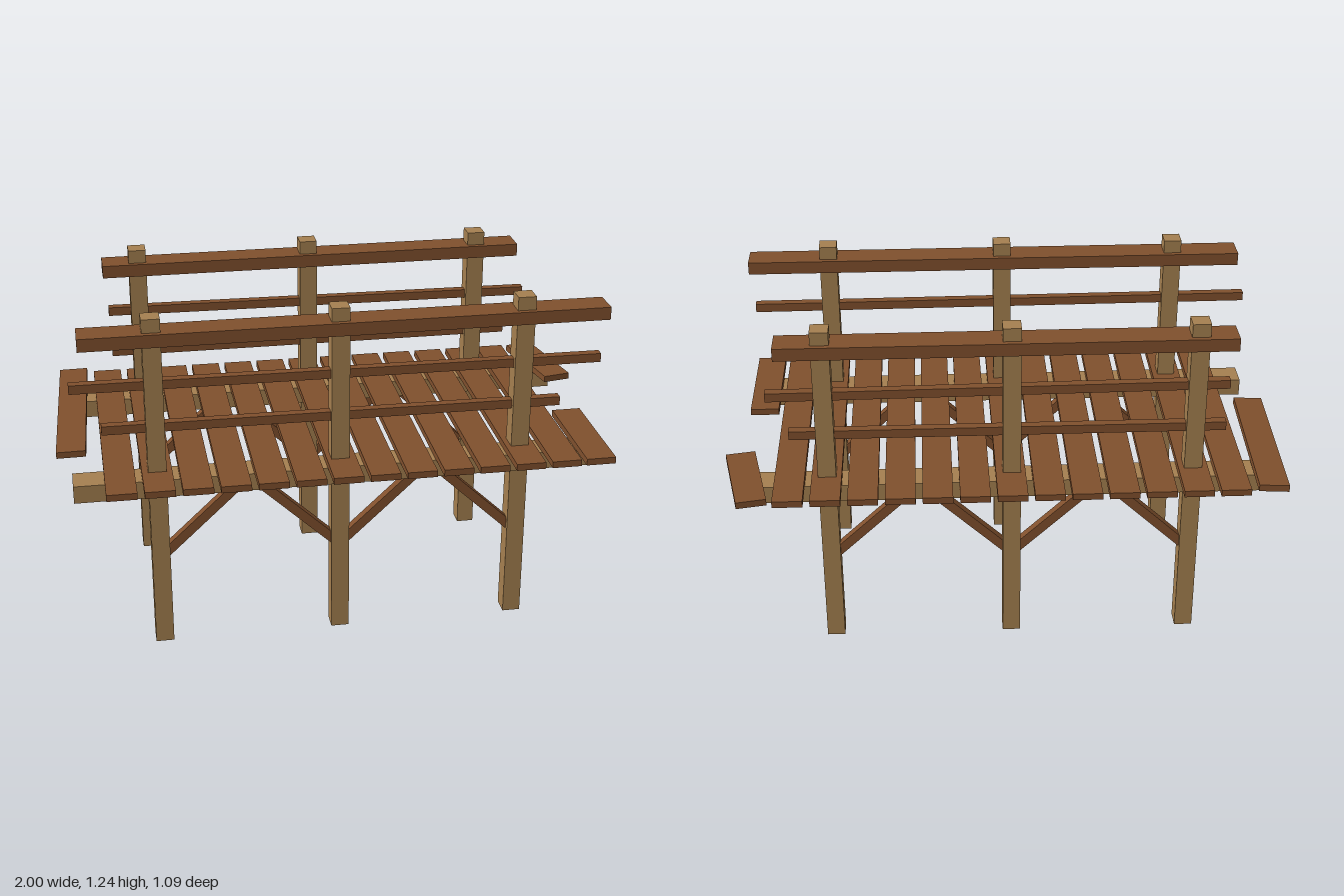
import * as THREE from 'three';

const paleWood = new THREE.MeshStandardMaterial({ color: 0xa58050, flatShading: true });
const darkWood = new THREE.MeshStandardMaterial({ color: 0x80502d, flatShading: true });

export function createModel() {
  const model = new THREE.Group();
  model.name = 'woodenFootbridge';

  // Timber given by its size and centre
  const timber = (name, material, size, centre, rotation = [0, 0, 0], parent = model) => {
    const mesh = new THREE.Mesh(new THREE.BoxGeometry(...size), material);
    mesh.name = name;
    mesh.position.set(...centre);
    mesh.rotation.set(...rotation, 'YXZ');
    parent.add(mesh);
    return mesh;
  };

  const postX = [-0.66, -0.02, 0.627];
  const postHalf = 0.032;

  // Rails of each side: [name, start x, end x, y, height, depth, tilt]
  const sides = [
    {
      name: 'frontSide', z: 0.362, rails: [
        ['handrail', -0.906, 0.922, 1.169, 0.046, 0.105, 0],
        ['upperRail', -0.943, 0.91, 0.994, 0.032, 0.032, -0.004],
        ['lowerRail', -0.842, 0.77, 0.837, 0.032, 0.032, -0.003],
      ],
    },
    {
      name: 'backSide', z: -0.352, rails: [
        ['handrail', -0.79, 0.785, 1.169, 0.046, 0.105, 0],
        ['upperRail', -0.775, 0.825, 0.994, 0.032, 0.032, -0.007],
        ['lowerRail', -0.77, 0.753, 0.837, 0.032, 0.032, 0.001],
      ],
    },
  ];

  for (const { name, z, rails } of sides) {
    const side = new THREE.Group();
    side.name = name;
    model.add(side);

    // Long beam under the deck
    timber('beam', paleWood, [1.89, 0.064, 0.105], [-0.005, 0.623, z], undefined, side);

    for (const x of postX) {
      timber('post', paleWood, [postHalf * 2, 1.24, 0.067], [x, 0.62, z], undefined, side);
    }
    for (const [railName, x0, x1, y, h, d, tilt] of rails) {
      timber(railName, darkWood, [x1 - x0, h, d], [(x0 + x1) / 2, y, z], [0, 0, tilt], side);
    }

    // Diagonal braces rising from the posts to the beam
    const braces = [[0, 1], [1, -1], [1, 1], [2, -1]];
    for (const [post, dir] of braces) {
      const start = new THREE.Vector2(postX[post] + dir * (postHalf - 0.01), 0.353);
      const end = new THREE.Vector2(start.x + dir * 0.275, 0.611);
      const mid = start.clone().add(end).divideScalar(2);
      const angle = dir * Math.atan2(end.y - start.y, Math.abs(end.x - start.x));
      timber('brace', darkWood, [start.distanceTo(end), 0.034, 0.034], [mid.x, mid.y, z], [0, 0, angle], side);
    }
  }

  // Deck of evenly spaced planks
  const deck = new THREE.Group();
  deck.name = 'deck';
  model.add(deck);
  for (let i = 0; i < 13; i++) {
    timber('plank', darkWood, [0.105, 0.024, 1.085], [-0.79 + i * 0.129, 0.667, 0.002], undefined, deck);
  }

  // Broken and loose planks at the two ends
  timber('brokenPlank', darkWood, [0.105, 0.024, 0.425], [0.882, 0.667, 0.331], undefined, deck);
  timber('shortLoosePlank', darkWood, [0.105, 0.024, 0.34], [0.912, 0.669, -0.37], [0.01, 0.19, 0], deck);
  timber('longLoosePlank', darkWood, [0.105, 0.024, 0.69], [-0.935, 0.666, -0.196], [0.045, -0.044, 0.03], deck);

  return model;
}
